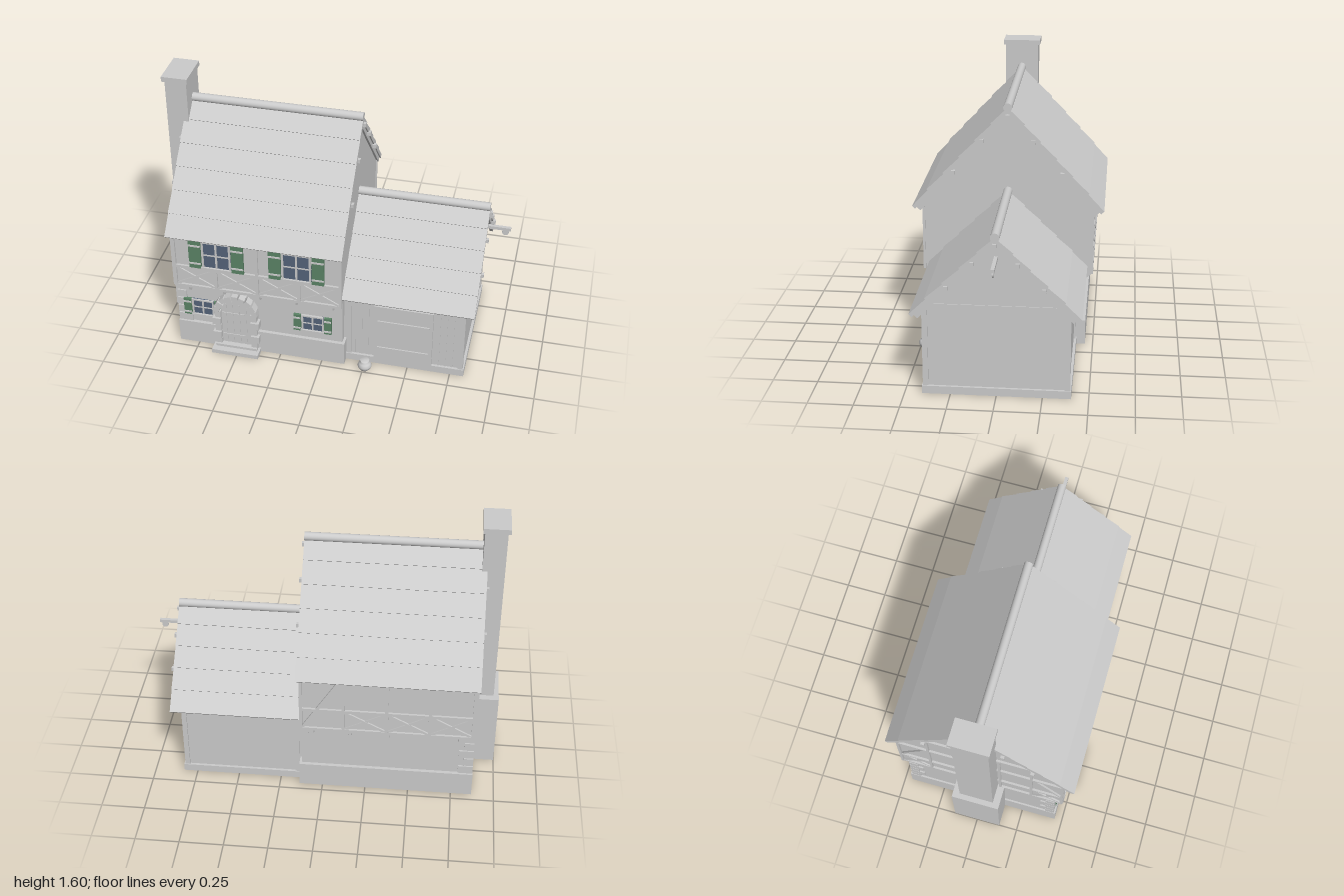
import * as THREE from 'three';

const mat = (name, color) => Object.assign(new THREE.MeshStandardMaterial({ color }), { name });

export function createModel() {
  const root = new THREE.Group();
  root.name = 'cottageWithBarn';
  const plain = mat('plainGrey', 0xcccccc);
  const green = mat('shutterGreen', 0x5c8567);
  const glass = mat('windowGlass', 0x55647a);

  const group = (name) => {
    const g = new THREE.Group();
    g.name = name;
    root.add(g);
    return g;
  };
  const add = (parent, name, geo, m = plain) => {
    const mesh = new THREE.Mesh(geo, m);
    mesh.name = name;
    parent.add(mesh);
    return mesh;
  };
  // Box given by its limits
  const box = (parent, name, x0, x1, y0, y1, z0, z1, m = plain) => {
    const geo = new THREE.BoxGeometry(x1 - x0, y1 - y0, z1 - z0);
    geo.translate((x0 + x1) / 2, (y0 + y1) / 2, (z0 + z1) / 2);
    return add(parent, name, geo, m);
  };
  // Square timber between two points
  const beam = (parent, name, a, b, w = 0.018, d = 0.014) => {
    const p = new THREE.Vector3(...a), q = new THREE.Vector3(...b);
    const alongX = Math.abs(p.x - q.x) > 1e-6 || Math.abs(p.z - q.z) < 1e-6;
    const mesh = add(parent, name, new THREE.BoxGeometry(alongX ? w : d, p.distanceTo(q), alongX ? d : w));
    mesh.position.copy(p).add(q).multiplyScalar(0.5);
    mesh.quaternion.setFromUnitVectors(new THREE.Vector3(0, 1, 0), q.clone().sub(p).normalize());
    return mesh;
  };
  // Outline of [z, y] points, symmetric in z, stretched along x
  const prism = (parent, name, pts, x0, x1) => {
    const shape = new THREE.Shape(pts.map((p) => new THREE.Vector2(...p)));
    const geo = new THREE.ExtrudeGeometry(shape, { depth: x1 - x0, bevelEnabled: false });
    geo.rotateY(Math.PI / 2).translate(x0, 0, 0);
    return add(parent, name, geo);
  };

  // Stepped gable roof with round ridge, purlin ends and rafters
  const roof = (name, x0, x1, ez, ey, apex, rows, purlins, pOut) => {
    const g = group(name);
    const len = Math.hypot(ez, apex - ey);
    const nz = (apex - ey) / len, ny = ez / len, lift = 0.008;
    const side = [];
    for (let i = 0; i < rows; i++) {
      const at = (t, k) => [ez * (1 - t) + nz * k, ey + (apex - ey) * t + ny * k];
      side.push(at(i / rows, i ? lift : 0), at((i + 1) / rows, 0));
    }
    const drop = 0.024 / ny;
    const right = [[ez - nz * 0.024, ey - ny * 0.024], ...side];
    const left = side.slice(0, -1).reverse().map(([z, y]) => [-z, y]);
    prism(g, 'tiledSlopes', [...right, ...left, [-ez + nz * 0.024, ey - ny * 0.024], [0, apex - drop]], x0, x1);
    const ridge = new THREE.CylinderGeometry(0.025, 0.025, x1 - x0, 20);
    ridge.rotateZ(Math.PI / 2).translate((x0 + x1) / 2, apex, 0);
    add(g, 'ridgeRoll', ridge);
    for (const [z, y] of purlins) {
      for (const s of z ? [-1, 1] : [1]) {
        box(g, 'purlin', x0 - pOut, x1 + 0.015, y - 0.011, y + 0.011, s * z - 0.011, s * z + 0.011);
      }
    }
    for (const s of [-1, 1]) {
      const y0 = ey - drop - 0.012;
      beam(g, 'endRafter', [x1 - 0.018, y0 + 0.03, s * (ez - 0.035)], [x1 - 0.018, apex - drop - 0.014, 0], 0.03, 0.02);
    }
  };

  // Main house walls
  const house = group('mainHouse');
  box(house, 'plinth', -0.87, 0.135, 0, 0.15, -0.455, 0.455);
  box(house, 'groundFloorWall', -0.86, 0.12, 0.15, 0.45, -0.435, 0.435);
  prism(house, 'upperWall', [[-0.48, 0.445], [0.48, 0.445], [0.48, 0.875], [0, 1.395], [-0.48, 0.875]], -0.855, 0.12);

  // Timber frame on front, back and left wall
  const frame = group('timberFrame');
  const xs = [-0.852, -0.61, -0.366, -0.122, 0.118];
  for (const s of [-1, 1]) {
    const z = s * 0.486;
    for (const y of [0.452, 0.588, 0.825]) beam(frame, 'rail', [-0.86, y, z], [0.127, y, z]);
    xs.forEach((x, i) => {
      const top = s < 0 || i % 2 === 0 ? 0.85 : 0.588;
      beam(frame, 'post', [x, 0.445, z], [x, top, z]);
    });
    for (let i = 0; i < 4; i++) {
      const a = xs[i] + 0.008, b = xs[i + 1] - 0.008;
      if (s < 0 && i === 3) {
        beam(frame, 'longBrace', [b, 0.46, z], [a, 0.82, z], 0.016, 0.01);
        continue;
      }
      beam(frame, 'crossBrace', [a, 0.46, z], [b, 0.58, z], 0.014, 0.01);
      beam(frame, 'crossBrace', [a, 0.58, z], [b, 0.46, z], 0.014, 0.008);
    }
    // Jetty brackets
    for (const x of [-0.79, -0.585, -0.37, -0.155, 0.06]) {
      const shape = new THREE.Shape([[0.43, 0.39], [0.455, 0.395], [0.49, 0.425], [0.49, 0.447], [0.43, 0.447]]
        .map(([z, y]) => new THREE.Vector2(z, y)));
      const geo = new THREE.ExtrudeGeometry(shape, { depth: 0.028, bevelEnabled: false });
      geo.translate(0, 0, -0.014).rotateY(s > 0 ? -Math.PI / 2 : Math.PI / 2).translate(x, 0, 0);
      add(frame, 'jettyBracket', geo);
    }
    // Left gable half
    const gx = -0.86;
    for (const z0 of [0.48, 0.3, 0.115]) beam(frame, 'gablePost', [gx, 0.445, s * z0], [gx, z0 > 0.4 ? 0.86 : 1.03, s * z0]);
    beam(frame, 'gableBrace', [gx, 0.6, s * 0.47], [gx, 0.82, s * 0.31], 0.016, 0.01);
    beam(frame, 'gableBrace', [gx, 0.46, s * 0.47], [gx, 0.58, s * 0.31], 0.014, 0.01);
    beam(frame, 'gableBrace', [gx, 0.58, s * 0.47], [gx, 0.46, s * 0.31], 0.014, 0.008);
  }
  for (const [y, z] of [[0.452, 0.48], [0.588, 0.48], [0.825, 0.48], [1.035, 0.29]]) {
    beam(frame, 'gableRail', [-0.86, y, -z], [-0.86, y, z]);
  }

  // Corner stones at the chimney end
  const quoins = group('cornerStones');
  for (const s of [-1, 1]) {
    for (let i = 0; i < 5; i++) {
      const w = i % 2 ? 0.055 : 0.085, d = i % 2 ? 0.085 : 0.055;
      const z0 = s * 0.445, z1 = s * (0.445 - d), y = 0.152 + i * 0.057;
      box(quoins, 'cornerStone', -0.868, -0.868 + w, y, y + 0.05, Math.min(z0, z1), Math.max(z0, z1));
    }
  }

  // Windows with shutters: centre x, limits, wall plane
  const win = (x, w, y0, y1, z, sw, sides) => {
    const g = group('window');
    const h = y1 - y0, t = w > 0.15 ? 0.011 : 0.009;
    box(g, 'pane', x - w / 2, x + w / 2, y0, y1, z, z + 0.006, glass);
    for (const s of [-1, 1]) {
      const cx = x + s * (w / 2 - t / 2);
      box(g, 'frameSide', cx - t / 2, cx + t / 2, y0, y1, z, z + 0.014);
    }
    box(g, 'frameTop', x - w / 2, x + w / 2, y1 - t, y1, z, z + 0.014);
    box(g, 'sill', x - w / 2 - 0.005, x + w / 2 + 0.005, y0 - 0.004, y0 + t, z, z + 0.018);
    box(g, 'mullion', x - t / 2, x + t / 2, y0, y1, z, z + 0.012);
    box(g, 'transom', x - w / 2, x + w / 2, y0 + h / 2 - t / 3, y0 + h / 2 + t / 3, z, z + 0.01);
    for (const s of sides) {
      const cx = x + s * (w / 2 + 0.005 + sw / 2);
      box(g, 'shutter', cx - sw / 2, cx + sw / 2, y0, y1, z, z + 0.016, green);
      for (const k of [0.18, 0.82]) {
        box(g, 'shutterBatten', cx - sw / 2, cx + sw / 2, y0 + h * k - 0.005, y0 + h * k + 0.005, z + 0.01, z + 0.021);
      }
    }
  };
  win(-0.6, 0.17, 0.597, 0.788, 0.482, 0.07, [-1, 1]);
  win(-0.133, 0.17, 0.597, 0.788, 0.482, 0.07, [-1, 1]);
  win(-0.716, 0.13, 0.205, 0.32, 0.436, 0.045, [-1, 1]);
  win(-0.055, 0.13, 0.205, 0.32, 0.436, 0.042, [-1, 1]);

  // Arched door with stone surround
  const door = group('frontDoor');
  const dx = -0.51, spring = 0.275, r = 0.093;
  const arch = new THREE.Shape();
  arch.moveTo(-r, 0.03).lineTo(r, 0.03).lineTo(r, spring).absarc(0, spring, r, 0, Math.PI, false);
  const leaf = new THREE.ExtrudeGeometry(arch, { depth: 0.03, bevelEnabled: false, curveSegments: 16 });
  add(door, 'doorLeaf', leaf.translate(dx, 0, 0.43));
  for (const x of [-0.06, -0.02, 0.02, 0.06]) {
    box(door, 'plankStrip', dx + x - 0.002, dx + x + 0.002, 0.035, 0.335, 0.458, 0.463);
  }
  for (const y of [0.1, 0.26]) box(door, 'hinge', dx - 0.085, dx + 0.05, y, y + 0.008, 0.458, 0.465);
  for (const s of [-1, 1]) {
    for (let i = 0; i < 5; i++) {
      const w = i % 2 ? 0.05 : 0.036, a = dx + s * 0.09, b = dx + s * (0.09 + w), y = 0.032 + i * 0.051;
      box(door, 'jambStone', Math.min(a, b), Math.max(a, b), y, y + 0.046, 0.43, i % 2 ? 0.487 : 0.479);
    }
  }
  for (let i = 0; i < 9; i++) {
    const a = (i + 0.5) * Math.PI / 9, R = i % 2 ? 0.112 : 0.115;
    const stone = add(door, 'archStone', new THREE.BoxGeometry(i % 2 ? 0.04 : 0.032, 0.037, 0.052));
    stone.position.set(dx + R * Math.cos(a), spring + R * Math.sin(a), i % 2 ? 0.461 : 0.456);
    stone.rotation.z = a;
  }
  box(door, 'doorStep', -0.65, -0.37, 0, 0.026, 0.44, 0.53);
  box(door, 'threshold', -0.635, -0.385, 0.026, 0.042, 0.44, 0.492);

  // Chimney
  const chimney = group('chimney');
  box(chimney, 'chimneyBase', -1, -0.855, 0, 0.46, -0.14, 0.14);
  box(chimney, 'chimneyShaft', -0.97, -0.845, 0.46, 1.565, -0.1, 0.1);
  box(chimney, 'chimneyCap', -0.985, -0.835, 1.565, 1.595, -0.112, 0.112);

  // Barn wing
  const barn = group('barn');
  box(barn, 'barnSkirt', 0.12, 0.83, 0, 0.045, -0.405, 0.405);
  box(barn, 'barnWalls', 0.12, 0.815, 0.045, 0.525, -0.39, 0.39);
  prism(barn, 'barnGable', [[-0.39, 0.52], [0.39, 0.52], [0, 0.9]], 0.12, 0.81);
  for (const s of [-1, 1]) {
    for (const x of [0.138, 0.795]) {
      box(barn, 'cornerPost', x, x + 0.028, 0.045, 0.525, s * 0.385 - 0.015, s * 0.385 + 0.015);
    }
  }
  for (const x of [0.185, 0.225, 0.265, 0.68, 0.72, 0.76]) {
    box(barn, 'wallBatten', x - 0.002, x + 0.002, 0.045, 0.5, 0.388, 0.394);
  }
  box(barn, 'barnDoor', 0.3, 0.64, 0.045, 0.43, 0.385, 0.408);
  for (const y of [0.13, 0.325]) box(barn, 'barnDoorBatten', 0.32, 0.62, y - 0.005, y + 0.005, 0.4, 0.416);

  // Hoist beam with pulley
  box(barn, 'hoistBeam', 0.8, 1, 0.788, 0.806, -0.01, 0.01);
  const pulley = new THREE.CylinderGeometry(0.019, 0.019, 0.008, 20);
  add(barn, 'hoistPulley', pulley.rotateX(Math.PI / 2).translate(0.97, 0.772, 0));

  // Round pot by the barn
  const potLine = [[0, 0], [0.024, 0], [0.038, 0.018], [0.041, 0.033], [0.034, 0.05], [0.023, 0.058], [0.027, 0.068], [0, 0.068]];
  const pot = new THREE.LatheGeometry(potLine.map((p) => new THREE.Vector2(...p)), 20);
  add(root, 'pot', pot.translate(0.26, 0, 0.468));

  roof('mainRoof', -0.875, 0.14, 0.55, 0.83, 1.425, 6, [[0.31, 1.042], [0.145, 1.23], [0, 1.375]], 0.015);
  roof('barnRoof', 0.115, 0.875, 0.46, 0.487, 0.932, 5, [[0.26, 0.645], [0.12, 0.785], [0, 0.89]], 0);
  return root;
}
